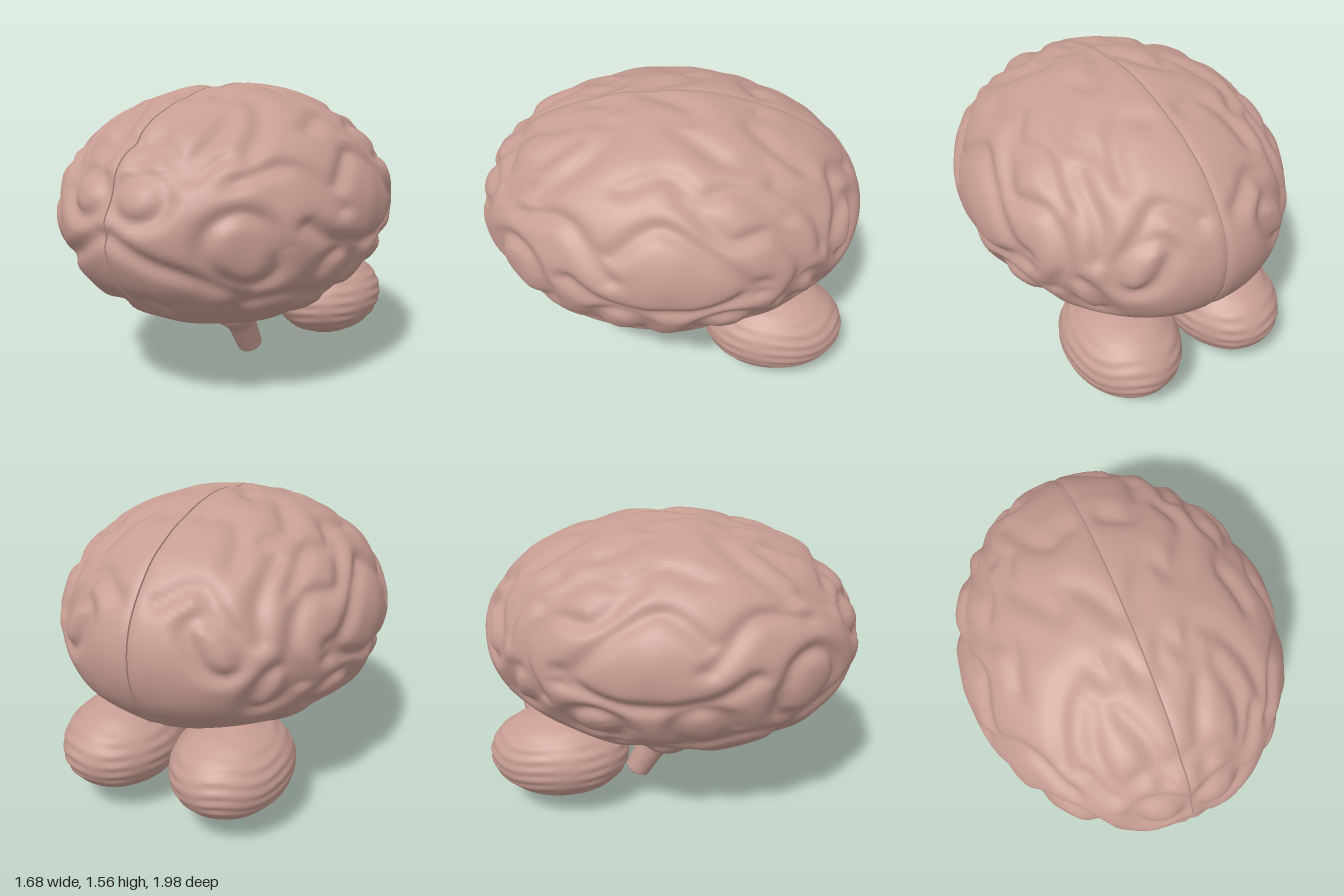
import * as THREE from 'three';
import { mergeVertices } from 'three/addons/utils/BufferGeometryUtils.js';

const R = new THREE.Vector3(0.835, 0.63, 1.0); // half sizes of the cerebrum
const CENTRE_Y = 0.942;

// Points on the unit sphere, found from two measured coordinates
const rest = (a, b) => Math.sqrt(Math.max(0, 1 - a * a - b * b));
const fromTop = ([x, z]) => {
  const a = x / R.x, b = z / R.z;
  return new THREE.Vector3(a, rest(a, b), b).normalize();
};
const fromSide = ([z, y]) => {
  const a = z / R.z, b = (y - CENTRE_Y) / R.y;
  return new THREE.Vector3(rest(a, b), b, a).normalize();
};
const fromFront = ([x, y]) => {
  const a = x / R.x, b = (y - CENTRE_Y) / R.y;
  return new THREE.Vector3(a, b, rest(a, b)).normalize();
};

// Closed groove around a rounded bump
const ring = (u, v, ru, rv) => Array.from({ length: 9 }, (_, i) => {
  const a = (i / 8) * Math.PI * 2;
  return [u + ru * Math.cos(a), v + rv * Math.sin(a)];
});

const topGrooves = [
  [[0.1, -0.45], [0.2, -0.4], [0.3, -0.5], [0.34, -0.65]],
  [[0.04, 0.1], [0.12, -0.05], [0.2, -0.12], [0.28, -0.03], [0.38, -0.15], [0.45, -0.3], [0.4, -0.45]],
  [[0.05, 0.38], [0.1, 0.28], [0.2, 0.35], [0.26, 0.26], [0.36, 0.3], [0.45, 0.42], [0.5, 0.6]],
  [[0.1, 0.85], [0.13, 0.65], [0.2, 0.5]],
  [[0.32, 0.78], [0.35, 0.6], [0.3, 0.45]],
  [[0.58, -0.55], [0.56, -0.3], [0.62, -0.15], [0.54, 0], [0.58, 0.2]],
  [[0.1, -0.9], [0.25, -0.8], [0.36, -0.83]],
];
const sideGrooves = [
  [[0.46, 0.97], [0.25, 0.86], [-0.07, 0.83], [-0.3, 0.87], [-0.45, 0.97]],
  [[0.7, 1.18], [0.46, 1.23], [0.25, 1.02]],
  [[0.25, 1.13], [0.03, 1.26], [-0.13, 1.2], [-0.3, 1.07], [-0.45, 0.91]],
  [[0.62, 0.6], [0.45, 0.62], [0.1, 0.57], [-0.2, 0.52]],
  [[-0.1, 1.35], [-0.3, 1.2], [-0.5, 1.2], [-0.65, 1.0], [-0.58, 0.8]],
  [[-0.5, 1.35], [-0.7, 1.2], [-0.76, 1.05]],
  ring(-0.3, 0.68, 0.14, 0.1), ring(0.22, 0.7, 0.13, 0.13),
  ring(0.02, 0.44, 0.13, 0.07), ring(-0.69, 0.8, 0.07, 0.12),
  ring(-0.87, 1.03, 0.06, 0.13),
];
const frontGrooves = [
  [[0.03, 0.93], [0.2, 0.83], [0.38, 0.75], [0.5, 0.65]],
  [[0.1, 0.6], [0.2, 0.5], [0.35, 0.47], [0.42, 0.56]],
  [[0.03, 1.33], [0.2, 1.3], [0.33, 1.2], [0.42, 1.28]],
  ring(0.15, 1.1, 0.13, 0.1), ring(0.55, 0.88, 0.12, 0.17),
];
const grooves = [
  ...topGrooves.map((g) => g.map(fromTop)),
  ...sideGrooves.map((g) => g.map(fromSide)),
  ...frontGrooves.map((g) => g.map(fromFront)),
].map((pts) => new THREE.CatmullRomCurve3(pts).getSpacedPoints(70).map((p) => p.normalize()));

// Radius of the folded surface in a given direction
function foldedRadius(d) {
  let open = 1;
  for (const g of grooves) {
    let near = 9;
    for (const p of g) near = Math.min(near, p.distanceToSquared(d));
    open *= 1 - Math.exp(-near / 0.004);
  }
  const swell = Math.sin(8 * d.x + 3 * Math.sin(5 * d.z)) * Math.sin(9 * d.y + 2 * d.z) * Math.sin(10 * d.z + 2 * d.x);
  const midline = Math.exp(-((d.x / 0.02) ** 2));
  return 0.962 + 0.037 * open + 0.008 * swell - 0.008 * midline;
}

// Half ellipsoid with folds and a flat inner face
function hemisphereGeometry() {
  let geo = new THREE.SphereGeometry(1, 176, 150).rotateZ(-Math.PI / 2);
  geo.deleteAttribute('uv');
  geo.deleteAttribute('normal');
  geo = mergeVertices(geo, 1e-5);
  const pos = geo.attributes.position;
  const p = new THREE.Vector3(), d = new THREE.Vector3();
  for (let i = 0; i < pos.count; i++) {
    p.fromBufferAttribute(pos, i);
    if (p.x < 0) p.x = 0;
    d.copy(p);
    if (d.lengthSq() < 1e-8) d.set(0, 1, 0);
    p.multiplyScalar(foldedRadius(d.normalize()));
    // the rear underside is raised a little above the cerebellum
    if (p.y < 0 && p.z < 0) p.y *= 1 - 0.07 * Math.sin(Math.PI * Math.min(1, -p.z));
    pos.setXYZ(i, 0.004 + p.x * R.x, CENTRE_Y + p.y * R.y, p.z * R.z);
  }
  geo.computeVertexNormals();
  return geo;
}

// Ellipsoid with fine, uneven stacked ridges
function cerebellumGeometry() {
  let geo = new THREE.SphereGeometry(1, 80, 90);
  geo.deleteAttribute('uv');
  geo.deleteAttribute('normal');
  geo = mergeVertices(geo, 1e-5);
  const pos = geo.attributes.position;
  const p = new THREE.Vector3();
  for (let i = 0; i < pos.count; i++) {
    p.fromBufferAttribute(pos, i);
    const wave = Math.sin(26 * p.y + 1.5 * Math.sin(4 * p.x + 3 * p.z)) * (0.6 + 0.4 * Math.sin(7 * p.x - 6 * p.z));
    p.multiplyScalar(0.992 + 0.01 * wave);
    pos.setXYZ(i, 0.312 + p.x * 0.298, 0.33 + p.y * 0.237, -0.573 + p.z * 0.376);
  }
  geo.computeVertexNormals();
  return geo;
}

// Mirror across x = 0 and turn the faces outward again
function mirrored(geo) {
  const copy = geo.clone().scale(-1, 1, 1);
  copy.index.array.reverse();
  copy.computeVertexNormals();
  return copy;
}

export function createModel() {
  const group = new THREE.Group();
  const tissue = new THREE.MeshStandardMaterial({ color: 0xc79d92 });
  tissue.name = 'tissue';
  const add = (name, geo) => {
    const mesh = new THREE.Mesh(geo, tissue);
    mesh.name = name;
    group.add(mesh);
    return mesh;
  };

  const hemisphere = hemisphereGeometry();
  add('leftHemisphere', hemisphere);
  add('rightHemisphere', mirrored(hemisphere));

  const cerebellum = cerebellumGeometry();
  add('leftCerebellum', cerebellum);
  add('rightCerebellum', mirrored(cerebellum));

  // Stem leaning back, flaring into a swelling under the cerebrum
  const profile = [[0, 0], [0.06, 0], [0.073, 0.012], [0.082, 0.17], [0.098, 0.23], [0.13, 0.29], [0.135, 0.36], [0.09, 0.43], [0, 0.46]];
  const stem = add('brainStem', new THREE.LatheGeometry(profile.map(([r, y]) => new THREE.Vector2(r, y)), 40));
  stem.position.set(0, 0.037, -0.203);
  stem.rotation.x = 0.515;

  return group;
}
